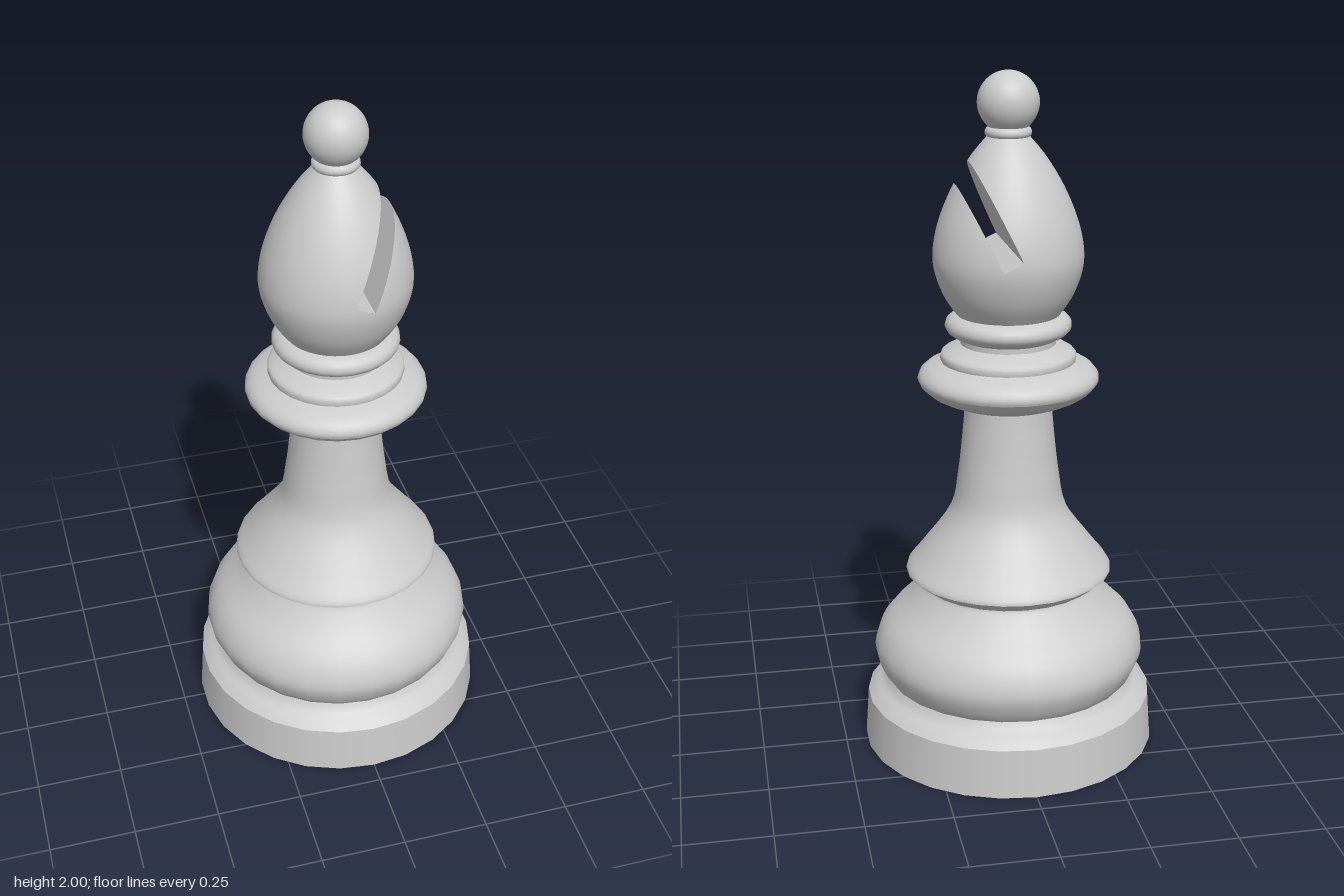
import * as THREE from 'three';

const SIDES = 26;
const material = new THREE.MeshStandardMaterial({ color: 0xcccccc });
const doubleSided = new THREE.MeshStandardMaterial({ color: 0xcccccc, side: THREE.DoubleSide });

const toPoints = (list) => list.map(([r, y]) => new THREE.Vector2(r, y));
const curved = (list, n) => new THREE.SplineCurve(toPoints(list)).getPoints(n);

function addMesh(group, name, geometry, mat = material) {
  const mesh = new THREE.Mesh(geometry, mat);
  mesh.name = name;
  group.add(mesh);
}

// Slot frame in the xy plane: s runs up along the slot, t across it
const ORIGIN = new THREE.Vector2(-0.004, 1.504);
const ALONG = new THREE.Vector2(0.424, 0.906).normalize();
const ACROSS = new THREE.Vector2(ALONG.y, -ALONG.x);
const WIDTH = 0.061;
const slotS = (v) => (v[0] - ORIGIN.x) * ALONG.x + (v[1] - ORIGIN.y) * ALONG.y;
const slotT = (v) => (v[0] - ORIGIN.x) * ACROSS.x + (v[1] - ORIGIN.y) * ACROSS.y;
const slotPoint = (s, t) => ORIGIN.clone().addScaledVector(ALONG, s).addScaledVector(ACROSS, t);

// Keeps the part of a polygon where side(v) <= 0
function clip(poly, side) {
  const out = [];
  poly.forEach((a, i) => {
    const b = poly[(i + 1) % poly.length];
    const da = side(a), db = side(b);
    if (da <= 0) out.push(a);
    if ((da < 0 && db > 0) || (da > 0 && db < 0)) {
      const k = da / (da - db);
      out.push(a.map((value, j) => value + (b[j] - value) * k));
    }
  });
  return out;
}

// Cuts the slot out of a surface, leaving it open there
function cutSlot(source) {
  const geo = source.toNonIndexed();
  const p = geo.attributes.position, n = geo.attributes.normal;
  const positions = [], normals = [];
  const left = (v) => slotT(v);
  const right = (v) => WIDTH - slotT(v);
  for (let i = 0; i < p.count; i += 3) {
    const tri = [i, i + 1, i + 2].map((j) =>
      [p.getX(j), p.getY(j), p.getZ(j), n.getX(j), n.getY(j), n.getZ(j)]);
    const below = clip(clip(clip(tri, (v) => -left(v)), (v) => -right(v)), slotS);
    for (const poly of [clip(tri, left), clip(tri, right), below]) {
      for (let k = 1; k < poly.length - 1; k++) {
        for (const v of [poly[0], poly[k], poly[k + 1]]) {
          positions.push(v[0], v[1], v[2]);
          normals.push(v[3], v[4], v[5]);
        }
      }
    }
  }
  const result = new THREE.BufferGeometry();
  result.setAttribute('position', new THREE.Float32BufferAttribute(positions, 3));
  result.setAttribute('normal', new THREE.Float32BufferAttribute(normals, 3));
  return result;
}

// Flat strip spanning the head in z along a line of xy points
function spanStrip(points, radiusAt) {
  const positions = [], index = [];
  points.forEach((q, i) => {
    const z = Math.sqrt(Math.max(0, radiusAt(q.y) ** 2 - q.x ** 2));
    positions.push(q.x, q.y, z, q.x, q.y, -z);
    if (i) index.push(2 * i - 2, 2 * i - 1, 2 * i, 2 * i - 1, 2 * i + 1, 2 * i);
  });
  const geo = new THREE.BufferGeometry();
  geo.setAttribute('position', new THREE.Float32BufferAttribute(positions, 3));
  geo.setIndex(index);
  geo.computeVertexNormals();
  return geo;
}

function createHead() {
  const head = new THREE.Group();
  head.name = 'head';
  const profile = curved([[0.145, 1.312], [0.185, 1.372], [0.211, 1.446], [0.213, 1.51],
    [0.195, 1.59], [0.157, 1.68], [0.105, 1.765], [0.055, 1.825]], 32);
  const radiusAt = (y) => {
    for (let i = 1; i < profile.length; i++) {
      const a = profile[i - 1], b = profile[i];
      if (y <= b.y) return a.x + (b.x - a.x) * (y - a.y) / (b.y - a.y);
    }
    return 0;
  };
  addMesh(head, 'headShell', cutSlot(new THREE.LatheGeometry(profile, 64)));

  // Two slot walls, each ending where it leaves the head
  for (const [name, t] of [['slotInnerWall', 0], ['slotOuterWall', WIDTH]]) {
    let low = 0, high = 0.4;
    for (let i = 0; i < 30; i++) {
      const mid = (low + high) / 2, q = slotPoint(mid, t);
      if (radiusAt(q.y) > Math.abs(q.x)) low = mid; else high = mid;
    }
    const points = Array.from({ length: 33 }, (_, i) =>
      slotPoint(low * Math.sin(i / 32 * Math.PI / 2), t));
    addMesh(head, name, spanStrip(points, radiusAt), doubleSided);
  }
  const floor = [0, 0.25, 0.5, 0.75, 1].map((k) => slotPoint(0, k * WIDTH));
  addMesh(head, 'slotFloor', spanStrip(floor, radiusAt), doubleSided);
  return head;
}

export function createModel() {
  const model = new THREE.Group();
  model.name = 'bishop';

  // Turned parts from the bottom up; a new part starts at each sharp edge
  const turned = [
    ['baseUnderside', toPoints([[0, 0], [0.437, 0]])],
    ['baseWall', toPoints([[0.437, 0], [0.427, 0.145]])],
    ['baseShoulder', curved([[0.427, 0.145], [0.405, 0.165], [0.38, 0.183], [0.366, 0.205]], 8)],
    ['bulge', curved([[0.366, 0.205], [0.385, 0.235], [0.403, 0.295], [0.376, 0.37],
      [0.31, 0.44], [0.272, 0.49], [0.265, 0.505]], 18)],
    ['skirtUnderside', toPoints([[0.265, 0.505], [0.305, 0.537]])],
    ['skirtAndStem', curved([[0.305, 0.537], [0.298, 0.555], [0.25, 0.615], [0.172, 0.726],
      [0.148, 0.84], [0.133, 0.97], [0.127, 1.045]], 22)],
    ['collarUnderside', curved([[0.127, 1.045], [0.18, 1.063], [0.23, 1.087], [0.258, 1.114]], 8)],
    ['collarRim', curved([[0.258, 1.114], [0.262, 1.128], [0.255, 1.146], [0.234, 1.164],
      [0.195, 1.18]], 10)],
    ['collarStep', curved([[0.195, 1.18], [0.196, 1.192], [0.188, 1.207], [0.138, 1.23]], 8)],
    ['neck', toPoints([[0.138, 1.23], [0.138, 1.245]])],
    ['neckRing', curved([[0.138, 1.245], [0.17, 1.262], [0.182, 1.28], [0.177, 1.3],
      [0.158, 1.314], [0.14, 1.318]], 14)],
    ['finialRing', curved([[0.05, 1.815], [0.063, 1.822], [0.066, 1.833], [0.06, 1.844],
      [0.045, 1.85]], 10)],
  ];
  for (const [name, points] of turned) {
    addMesh(model, name, new THREE.LatheGeometry(points, SIDES));
  }

  model.add(createHead());

  // Ball on top
  const ball = new THREE.SphereGeometry(0.087, 32, 24);
  ball.translate(0, 1.913, 0);
  addMesh(model, 'finialBall', ball);
  return model;
}
